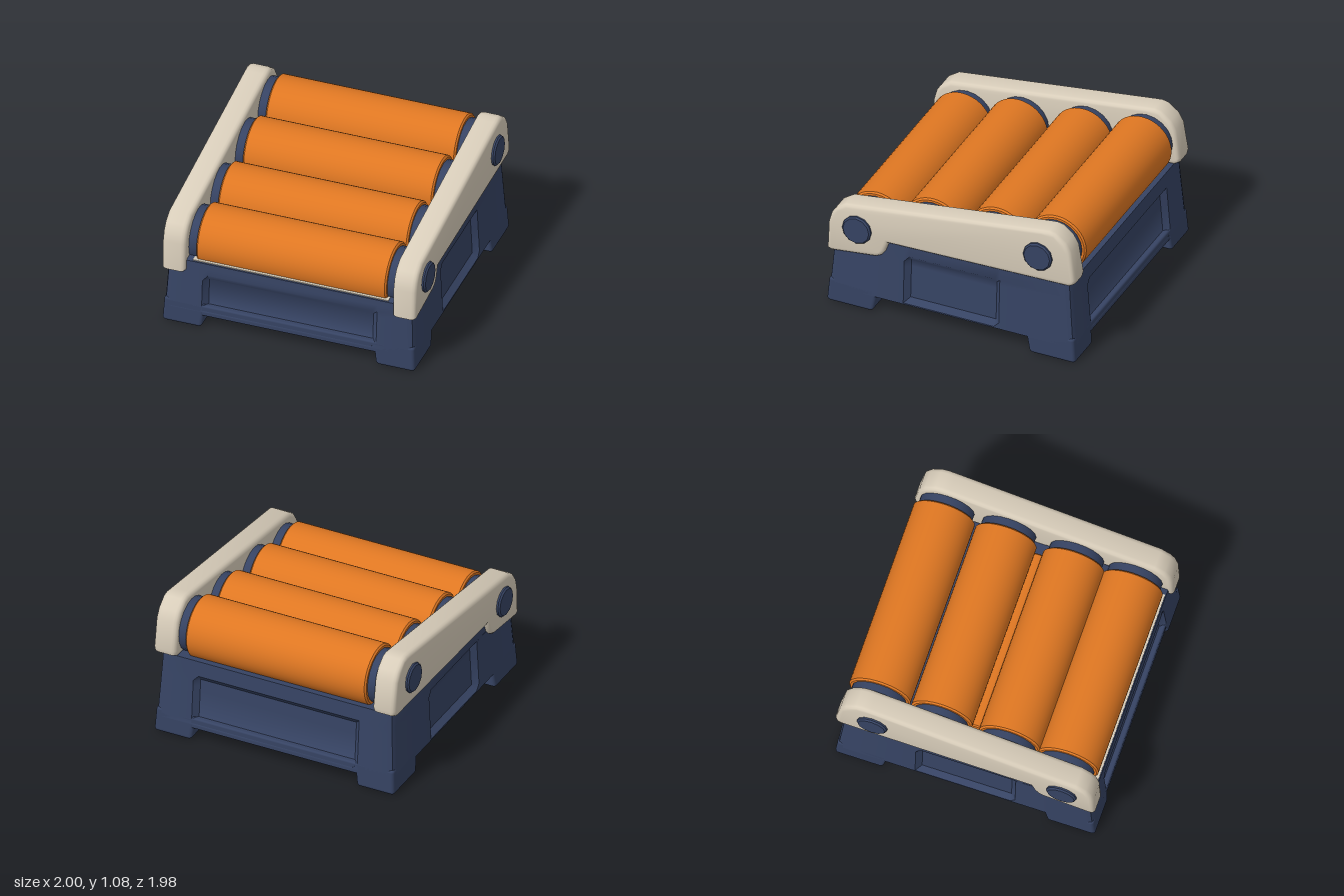
import * as THREE from 'three';
import { toCreasedNormals } from 'three/addons/utils/BufferGeometryUtils.js';
import { RoundedBoxGeometry } from 'three/addons/geometries/RoundedBoxGeometry.js';

const navy = new THREE.MeshStandardMaterial({ color: 0x364363 });
navy.name = 'navy';
const ivory = new THREE.MeshStandardMaterial({ color: 0xd8cdba });
ivory.name = 'ivory';
const orange = new THREE.MeshStandardMaterial({ color: 0xdf7722 });
orange.name = 'orange';

// the base walls lean inwards with height
const halfX = y => 0.97 - 0.05 * y;
const halfZ = y => 0.99 - 0.08 * y;

function add(parent, name, geometry, material, x = 0, y = 0, z = 0) {
  const mesh = new THREE.Mesh(geometry, material);
  mesh.name = name;
  mesh.position.set(x, y, z);
  parent.add(mesh);
  return mesh;
}

// round bar lying along x with chamfered ends
function bar(radius, length, chamfer, sides) {
  const h = length / 2;
  const profile = [[0, -h], [radius - chamfer, -h], [radius, -h + chamfer],
    [radius, h - chamfer], [radius - chamfer, h], [0, h]].map(p => new THREE.Vector2(...p));
  return toCreasedNormals(new THREE.LatheGeometry(profile, sides).rotateZ(Math.PI / 2), 0.7);
}

// one level of the base outline: front, left, back, right, each with a recess
function ring(y, dFront, dSide, dBack, isTop) {
  const hx = halfX(y), hz = halfZ(y), c = 0.05;
  const points = [];
  const side = (half, out, w, d, place) => {
    const run = [[-half + c, 0], [-w, 0], [-w + 0.04, d], [w - 0.04, d], [w, 0], [half - c, 0], [half - c * 0.29, c * 0.29]];
    for (const [u, inset] of run) points.push(place(u, out - inset));
  };
  side(hx, hz, 0.67, dFront, (u, o) => [u, o]);
  side(hz, hx, 0.38, dSide, (u, o) => [o, -u]);
  side(hx, hz, 0.67, dBack, (u, o) => [-u, -o]);
  side(hz, hx, 0.38, dSide, (u, o) => [-o, u]);
  return points.map(([x, z]) => [x, isTop ? (z > 0.85 ? 0.54 : 0.655) : y, z]);
}

function baseGeometry() {
  const d = 0.04;
  const levels = [ring(0.13, 0, 0, 0), ring(0.14, 0, 0, 0), ring(0.18, d, d, d), ring(0.39, d, d, d),
    ring(0.44, 0, d, d), ring(0.49, 0, d, d), ring(0.535, 0, 0, 0), ring(0.64, 0, 0, 0, true)];
  const n = levels[0].length;
  const vertices = levels.flat(2);
  const index = [];
  for (let l = 0; l < levels.length - 1; l++) {
    for (let i = 0; i < n; i++) {
      const a = l * n + i, b = l * n + (i + 1) % n;
      index.push(a, b, b + n, a, b + n, a + n);
    }
  }
  // underside and deck
  const low = levels.length * n, high = low + 1, last = (levels.length - 1) * n;
  vertices.push(0, 0.13, 0, 0, 0.6, 0);
  for (let i = 0; i < n; i++) {
    const j = (i + 1) % n;
    index.push(low, j, i, high, last + i, last + j);
  }
  const g = new THREE.BufferGeometry();
  g.setAttribute('position', new THREE.Float32BufferAttribute(vertices, 3));
  g.setIndex(index);
  return toCreasedNormals(g, 0.75);
}

// corner foot following the lean of the walls
function footGeometry(sx, sz) {
  const g = new RoundedBoxGeometry(0.31, 0.2, 0.38, 3, 0.025);
  g.translate(sx * 0.815, 0.1, sz * 0.8);
  const p = g.attributes.position;
  for (let i = 0; i < p.count; i++) {
    const x = p.getX(i), y = p.getY(i), z = p.getZ(i);
    const flareX = Math.abs(x) < 0.8 ? -0.1 * (y - 0.1) : 0;
    const flareZ = Math.abs(z) < 0.8 ? -0.15 * (y - 0.1) : 0;
    p.setX(i, x * halfX(y) / 0.97 + sx * flareX);
    p.setZ(i, z * halfZ(y) / 0.99 + sz * flareZ);
  }
  return g;
}

// side rail outline as [z, y], extruded across x
function railGeometry() {
  const outline = [[0.985, 0.45], [0.975, 0.68], [0.955, 0.755], [0.915, 0.815], [0.84, 0.865],
    [-0.72, 1.075], [-0.78, 1.082], [-0.83, 1.072], [-0.91, 1.01], [-0.95, 0.94], [-0.988, 0.71],
    [-0.98, 0.675], [-0.94, 0.65], [0.5, 0.618], [0.525, 0.54], [0.555, 0.5], [0.6, 0.478], [0.95, 0.437]];
  const shape = new THREE.Shape(outline.map(([z, y]) => new THREE.Vector2(-z, y)));
  const g = new THREE.ExtrudeGeometry(shape, {
    depth: 0.11, bevelThickness: 0.035, bevelSize: 0.03, bevelOffset: -0.03, bevelSegments: 3
  });
  return toCreasedNormals(g.translate(0, 0, -0.055).rotateY(Math.PI / 2), 0.65);
}

export function createModel() {
  const model = new THREE.Group();
  model.name = 'rollerStand';

  // base with recessed panels, lower lips and feet
  const base = new THREE.Group();
  base.name = 'base';
  model.add(base);
  add(base, 'baseBody', baseGeometry(), navy);
  for (const s of [1, -1]) {
    add(base, 'lowerLip', new RoundedBoxGeometry(1.5, 0.09, 0.2, 2, 0.015), navy, 0, 0.14, s * 0.877);
    for (const t of [1, -1]) add(base, 'foot', footGeometry(s, t), navy);
  }
  add(model, 'frontTrim', new THREE.BoxGeometry(1.5, 0.012, 0.05), ivory, 0, 0.54, 0.915);

  // side rails with bolt heads
  const rail = railGeometry();
  const bolt = bar(0.115, 0.1, 0.012, 12);
  for (const s of [1, -1]) {
    add(model, 'sideRail', rail, ivory, s * 0.885, 0, 0);
    add(model, 'frontBolt', bolt, navy, s * 0.95, 0.68, 0.74);
    add(model, 'backBolt', bolt, navy, s * 0.95, 0.855, -0.7);
  }

  // four rollers stepping up towards the back, with end collars
  const rollerGeometry = bar(0.233, 1.46, 0.012, 40);
  const collar = bar(0.205, 0.1, 0.012, 20);
  for (const [y, z] of [[0.625, 0.7], [0.695, 0.255], [0.76, -0.26], [0.823, -0.73]]) {
    const roller = new THREE.Group();
    roller.name = 'roller';
    roller.position.set(0, y, z);
    model.add(roller);
    add(roller, 'rollerTube', rollerGeometry, orange);
    for (const s of [1, -1]) add(roller, 'collar', collar, navy, s * 0.765);
  }
  add(model, 'innerRoller', bar(0.09, 1.4, 0.01, 20), orange, 0, 0.62, 0);
  return model;
}
